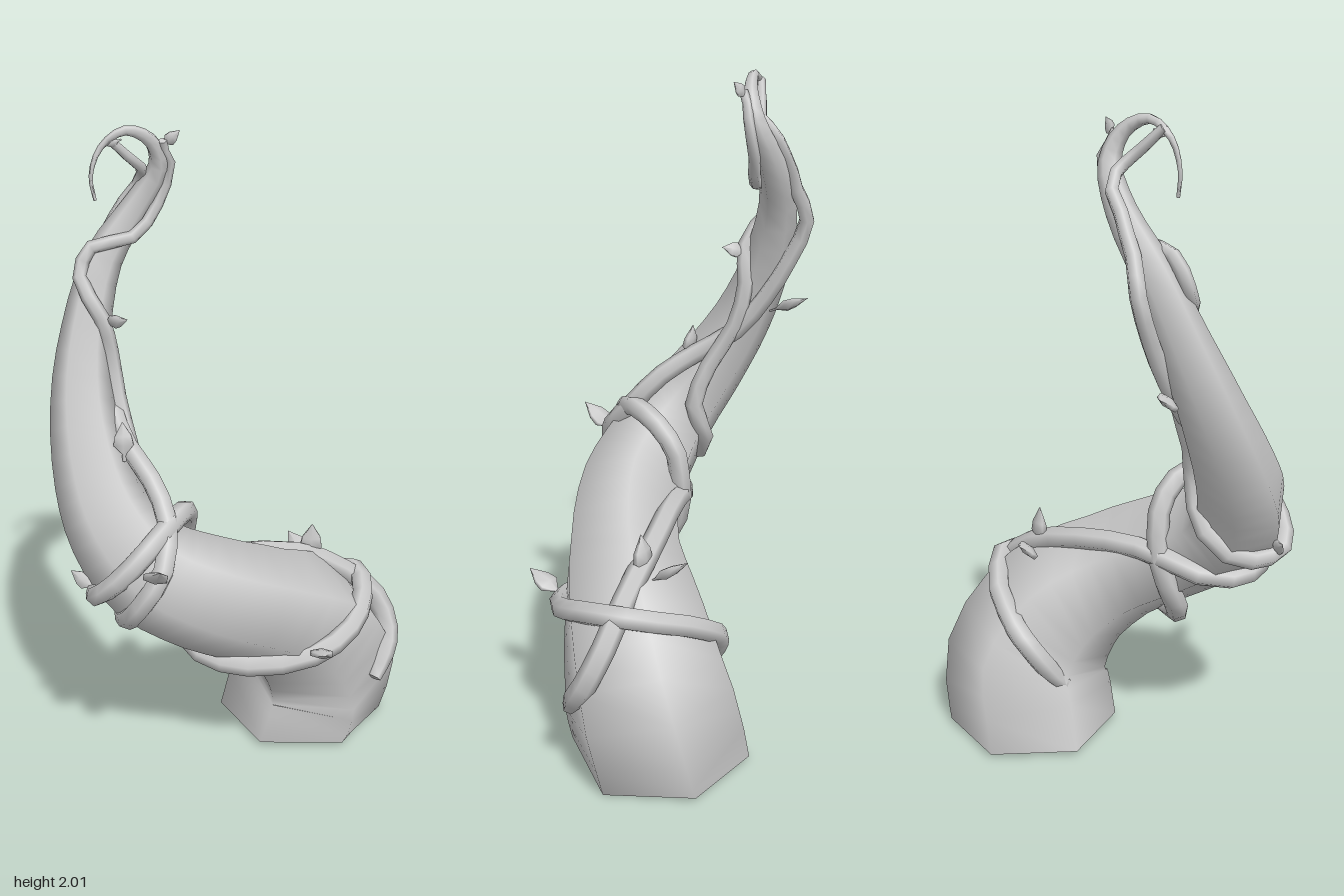
import * as THREE from 'three';
import { toCreasedNormals } from 'three/addons/utils/BufferGeometryUtils.js';

const material = new THREE.MeshStandardMaterial({ color: 0xcccccc, side: THREE.DoubleSide });
const V = (p) => new THREE.Vector3(p[0], p[1], p[2]);

// Sample a smooth path through rows of [x, y, z, radius].
function samplePath(rows, steps) {
  const curve = new THREE.CatmullRomCurve3(rows.map(V));
  const count = (rows.length - 1) * steps;
  const out = [];
  for (let i = 0; i <= count; i++) {
    const k = Math.min(Math.floor(i / steps), rows.length - 2);
    const r = THREE.MathUtils.lerp(rows[k][3], rows[k + 1][3], i / steps - k);
    out.push({ p: curve.getPoint(i / count), r });
  }
  return out;
}

// Sweep a tapering hexagon along the samples; an open base starts level on the ground.
function sweep(samples, openBase) {
  const sides = 6, pos = [], index = [], n = samples.length;
  const N = new THREE.Vector3(1, 0, 0);
  samples.forEach(({ p, r }, i) => {
    const a = samples[Math.max(i - 1, 0)].p, b = samples[Math.min(i + 1, n - 1)].p;
    const T = i === 0 && openBase ? new THREE.Vector3(0, 1, 0) : b.clone().sub(a).normalize();
    N.addScaledVector(T, -N.dot(T)).normalize();
    const B = T.clone().cross(N);
    for (let j = 0; j < sides; j++) {
      const t = (j / sides) * Math.PI * 2;
      const q = p.clone().addScaledVector(N, r * Math.cos(t)).addScaledVector(B, r * Math.sin(t));
      pos.push(q.x, q.y, q.z);
    }
  });
  const first = n * sides, last = first + 1, end = (n - 1) * sides;
  pos.push(...samples[0].p.toArray(), ...samples[n - 1].p.toArray());
  for (let j = 0; j < sides; j++) {
    const k = (j + 1) % sides;
    for (let i = 0; i < n - 1; i++) {
      const a = i * sides + j, b = i * sides + k;
      index.push(a, b, a + sides, b, b + sides, a + sides);
    }
    if (!openBase) index.push(first, k, j);
    index.push(last, end + j, end + k);
  }
  const geo = new THREE.BufferGeometry();
  geo.setAttribute('position', new THREE.Float32BufferAttribute(pos, 3));
  geo.setIndex(index);
  return toCreasedNormals(geo, 1.3);
}

const TRUNK = [
  [0.227, 0, -0.217, 0.272], [0.278, 0.2, -0.205, 0.267], [0.222, 0.4, -0.1, 0.232],
  [0.1, 0.53, 0.037, 0.193], [-0.09, 0.65, 0.163, 0.18], [-0.25, 0.75, 0.2, 0.163],
  [-0.35, 0.87, 0.17, 0.143], [-0.412, 1.0, 0.098, 0.122], [-0.453, 1.2, -0.015, 0.096],
  [-0.443, 1.4, -0.107, 0.075], [-0.39, 1.6, -0.178, 0.058], [-0.29, 1.75, -0.21, 0.043],
  [-0.22, 1.87, -0.2, 0.032], [-0.24, 1.95, -0.17, 0.022], [-0.31, 1.985, -0.135, 0.014],
  [-0.38, 1.94, -0.115, 0.009], [-0.41, 1.86, -0.108, 0.006], [-0.4, 1.79, -0.106, 0.005],
];

// Both vines: path points only; thickness tapers along the length.
const VINES = {
  vineA: [
    [0.045, 0.2, -0.21], [0.05, 0.27, -0.265], [0.07, 0.34, -0.31], [0.12, 0.4, -0.335],
    [0.25, 0.47, -0.31], [0.4, 0.53, -0.22], [0.42, 0.51, -0.08], [0.37, 0.46, 0.05],
    [0.25, 0.42, 0.15], [0.05, 0.395, 0.17], [-0.1, 0.42, 0.13], [-0.165, 0.5, 0.07],
    [-0.16, 0.66, 0.02], [-0.15, 0.8, 0.02], [-0.14, 0.89, 0.09], [-0.165, 0.92, 0.2],
    [-0.24, 0.87, 0.31], [-0.33, 0.78, 0.34], [-0.4, 0.71, 0.295], [-0.4, 0.7, 0.18],
    [-0.34, 0.8, 0.06], [-0.28, 0.93, 0.05], [-0.31, 1.06, 0.015], [-0.35, 1.2, -0.055],
    [-0.37, 1.34, -0.08], [-0.39, 1.45, -0.06], [-0.455, 1.56, -0.11], [-0.42, 1.645, -0.135],
    [-0.3, 1.67, -0.155], [-0.225, 1.76, -0.2], [-0.2, 1.88, -0.2], [-0.205, 1.95, -0.17],
  ],
  vineB: [
    [0.45, 0.21, -0.07], [0.5, 0.27, -0.11], [0.515, 0.34, -0.16], [0.47, 0.45, -0.195],
    [0.36, 0.55, -0.18], [0.2, 0.63, -0.14], [0, 0.67, -0.06], [-0.18, 0.66, 0.05],
    [-0.31, 0.63, 0.17], [-0.31, 0.625, 0.28], [-0.26, 0.71, 0.335], [-0.2, 0.81, 0.325],
    [-0.19, 0.92, 0.23], [-0.24, 1.02, 0.15], [-0.31, 1.09, 0.07], [-0.37, 1.18, -0.05],
    [-0.4, 1.3, -0.14], [-0.42, 1.42, -0.205], [-0.435, 1.55, -0.255], [-0.39, 1.65, -0.24],
    [-0.32, 1.75, -0.23], [-0.25, 1.83, -0.21], [-0.31, 1.91, -0.16], [-0.36, 1.965, -0.125],
  ],
};

// Leaves as [base, tip].
const LEAVES = [
  [[0.25, 0.58, -0.17], [0.255, 0.725, -0.16]],
  [[0.25, 0.57, -0.18], [0.18, 0.64, -0.28]],
  [[0.27, 0.43, 0.14], [0.28, 0.49, 0.27]],
  [[-0.4, 0.71, 0.26], [-0.48, 0.76, 0.23]],
  [[-0.23, 0.78, 0.34], [-0.2, 0.87, 0.45]],
  [[-0.32, 1.06, 0.11], [-0.325, 1.18, 0.09]],
  [[-0.39, 1.43, -0.07], [-0.31, 1.455, -0.03]],
  [[-0.43, 1.24, -0.13], [-0.5, 1.285, -0.23]],
  [[-0.21, 1.93, -0.18], [-0.155, 1.98, -0.17]],
  [[-0.32, 1.96, -0.13], [-0.37, 1.945, -0.12]],
];

// Move vine points that sink into the trunk out to its surface.
function pushOut(samples, trunk) {
  for (const s of samples) {
    let best = trunk[0], gap = Infinity;
    for (const t of trunk) {
      const d = s.p.distanceTo(t.p);
      if (d < gap) { gap = d; best = t; }
    }
    const min = best.r * 0.86 + s.r * 0.45;
    if (gap < min && best.r > 0.03) s.p.sub(best.p).setLength(min).add(best.p);
  }
  return samples;
}

export function createModel() {
  const group = new THREE.Group();
  const add = (name, geo) => {
    const mesh = new THREE.Mesh(geo, material);
    mesh.name = name;
    group.add(mesh);
    return mesh;
  };

  // Six-sided curling trunk, hollow underneath
  add('trunk', sweep(samplePath(TRUNK, 3), true));

  // Twining vines
  const fineTrunk = samplePath(TRUNK, 12);
  for (const [name, points] of Object.entries(VINES)) {
    const rows = points.map((p, i) => {
      const t = i / (points.length - 1);
      return [...p, i === 0 ? 0.024 : 0.036 - 0.023 * t * t * t];
    });
    add(name, sweep(pushOut(samplePath(rows, 2), fineTrunk), false));
  }

  // Flattened pointed leaves on short stalks
  const profile = [[0, 0], [0.06, 0.02], [0.06, 0.2], [0.28, 0.42], [0.24, 0.64], [0, 1]];
  const leafGeo = new THREE.LatheGeometry(profile.map(([x, y]) => new THREE.Vector2(x, y)), 6);
  for (const [base, tip] of LEAVES) {
    const dir = V(tip).sub(V(base));
    const length = dir.length();
    const leaf = add('leaf', leafGeo);
    leaf.position.copy(V(base));
    leaf.quaternion.setFromUnitVectors(new THREE.Vector3(0, 1, 0), dir.normalize());
    leaf.scale.set(length, length, length * 0.4);
  }
  return group;
}
